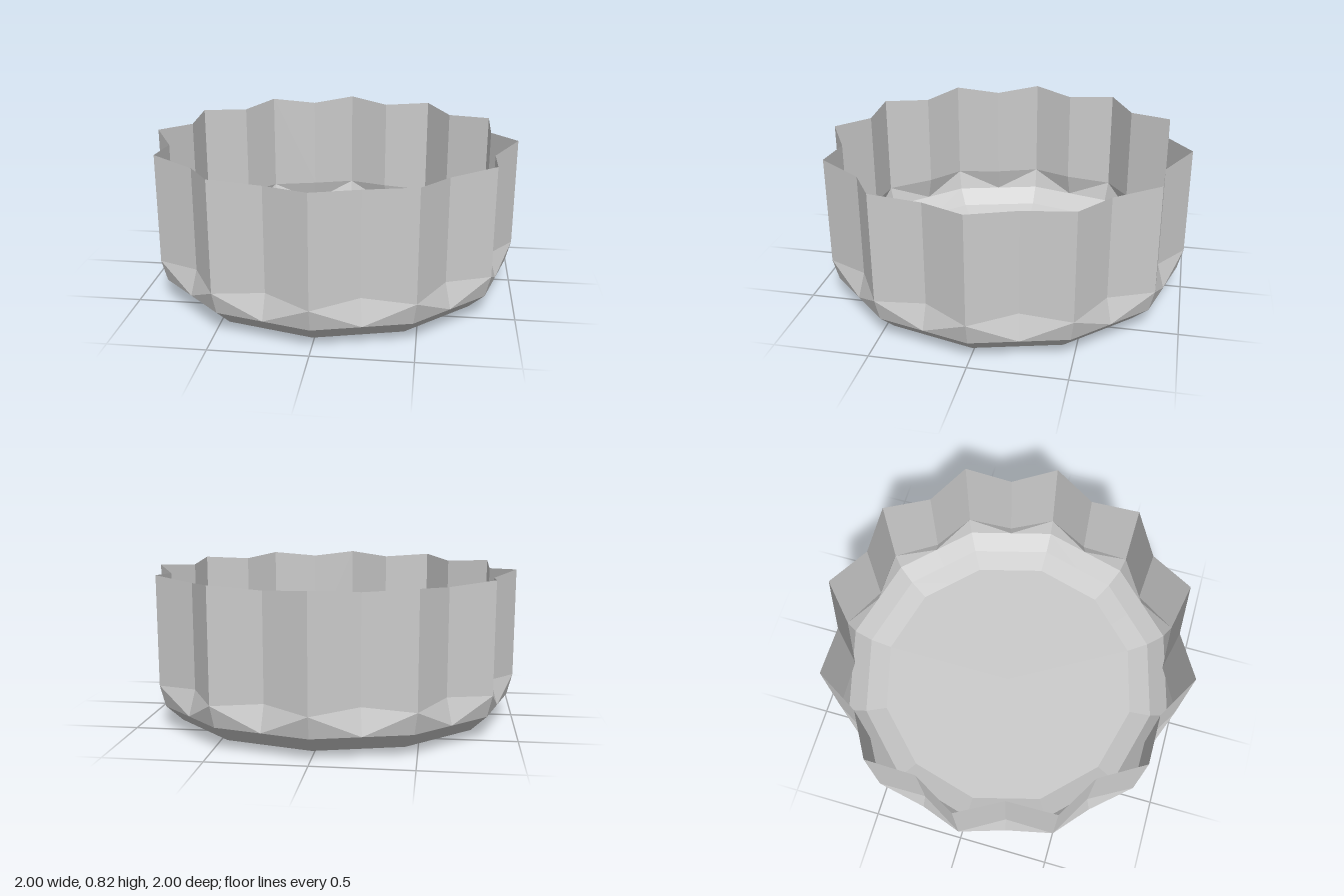
import * as THREE from 'three';

const LOBES = 12;
const SEGMENTS = LOBES * 2;
const FLAT = Math.cos(Math.PI / LOBES); // mid-edge radius of a plain 12-gon

// Each ring: radius and height at the flute tips, then at the valleys
const floorRing = [0.76, 0, 0.76 * FLAT, 0];
const bevelRing = [0.88, 0.035, 0.88 * FLAT, 0.035];
const baseRing = [0.97, 0.12, 0.97 * FLAT, 0.12];
const fluteRing = [1, 0.235, 0.898, 0.255];
const rimRing = [1, 0.82, 0.898, 0.8];

function ringPoint([tipR, tipY, valleyR, valleyY], i) {
  const angle = (i / SEGMENTS) * Math.PI * 2;
  const tip = i % 2 === 0;
  const r = tip ? tipR : valleyR;
  return [Math.sin(angle) * r, tip ? tipY : valleyY, Math.cos(angle) * r];
}

// Skin consecutive rings with flat-shaded faces
function loft(rings) {
  const positions = [];
  for (let k = 0; k < rings.length - 1; k++) {
    for (let i = 0; i < SEGMENTS; i++) {
      const a = ringPoint(rings[k], i);
      const b = ringPoint(rings[k], i + 1);
      const c = ringPoint(rings[k + 1], i + 1);
      const d = ringPoint(rings[k + 1], i);
      // split along the tip-to-valley diagonal, mirrored on alternate panels
      if (i % 2 === 0) positions.push(...a, ...b, ...d, ...b, ...c, ...d);
      else positions.push(...a, ...b, ...c, ...a, ...c, ...d);
    }
  }
  const geometry = new THREE.BufferGeometry();
  geometry.setAttribute('position', new THREE.Float32BufferAttribute(positions, 3));
  geometry.computeVertexNormals();
  return geometry;
}

export function createModel() {
  const group = new THREE.Group();
  group.name = 'flutedBowl';
  const material = new THREE.MeshStandardMaterial({
    color: 0xcccccc, flatShading: true, side: THREE.DoubleSide,
  });
  const add = (name, geometry) => {
    const mesh = new THREE.Mesh(geometry, material);
    mesh.name = name;
    group.add(mesh);
    return mesh;
  };

  // Thin fluted wall, open at the top
  add('flutedWall', loft([baseRing, fluteRing, rimRing]));

  // Twelve-sided bevelled underside
  add('bevelledBase', loft([floorRing, bevelRing, baseRing]));

  // Flat floor, facing down with corners in line with the flute tips
  const floor = new THREE.CircleGeometry(floorRing[0], LOBES);
  floor.rotateX(Math.PI / 2);
  add('floor', floor);

  return group;
}
